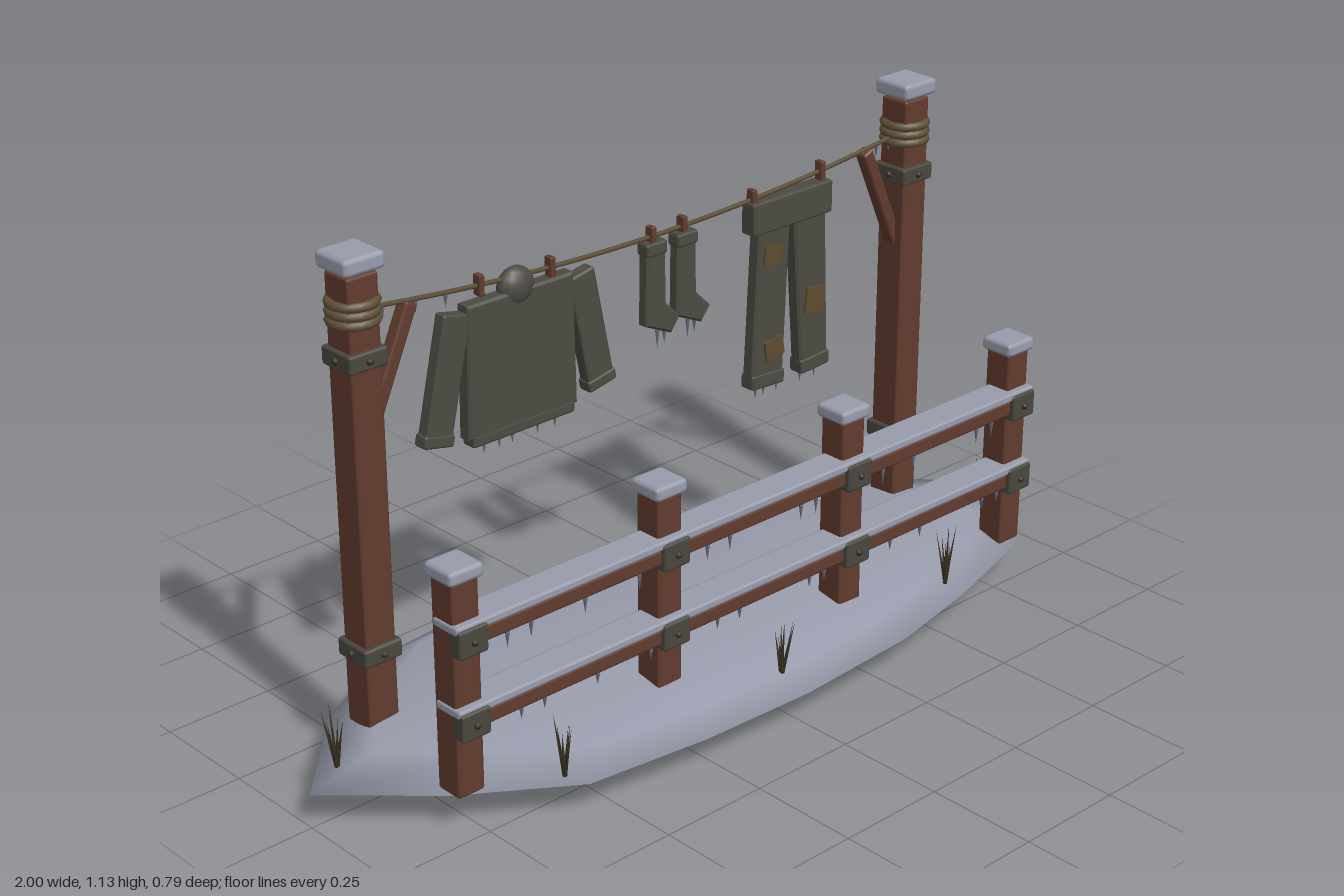
import * as THREE from 'three';
import { RoundedBoxGeometry } from 'three/addons/geometries/RoundedBoxGeometry.js';

const mat = (name, color) => {
  const m = new THREE.MeshStandardMaterial({ color });
  m.name = name;
  return m;
};
const M = {
  snow: mat('snow', 0x989cac), wood: mat('wood', 0x623c2f), iron: mat('iron', 0x48473f),
  cloth: mat('cloth', 0x4c4a42), rope: mat('rope', 0x5e5038), patch: mat('patch', 0x5e4c2e),
  grass: mat('dry grass', 0x37301f), ice: mat('ice', 0x686e7e), bolt: mat('bolt', 0x3c302a),
};
const LINE_Z = -0.118, FENCE_Z = 0.195;
const ropeY = x => 0.95 + 0.05 * ((x - 0.02) / 0.75) ** 2;

export function createModel() {
  const root = new THREE.Group();
  root.name = 'clotheslineAndFence';

  const add = (name, geo, material, x = 0, y = 0, z = 0, parent = root) => {
    const m = new THREE.Mesh(geo, material);
    m.name = name;
    m.position.set(x, y, z);
    parent.add(m);
    return m;
  };
  const box = (name, w, h, d, material, x, y, z, parent, r = 0.006) =>
    add(name, new RoundedBoxGeometry(w, h, d, 1, Math.min(r, w / 3, h / 3, d / 3)), material, x, y, z, parent);
  const group = name => {
    const g = new THREE.Group();
    g.name = name;
    root.add(g);
    return g;
  };
  // bar between two points in the plane of the washing line
  const bar = (name, a, b, w, d, material, z, parent) => {
    const dx = b[0] - a[0], dy = b[1] - a[1];
    const m = box(name, w, Math.hypot(dx, dy), d, material, (a[0] + b[0]) / 2, (a[1] + b[1]) / 2, z, parent);
    m.rotation.z = Math.atan2(-dx, dy);
    return m;
  };
  // flat bevelled panel cut from an outline
  const panel = (name, pts, depth, material, z, parent) => {
    const b = 0.005;
    const geo = new THREE.ExtrudeGeometry(new THREE.Shape(pts.map(p => new THREE.Vector2(...p))), {
      depth: depth - 2 * b, bevelEnabled: true, bevelThickness: b, bevelSize: b, bevelOffset: -b, bevelSegments: 1,
    });
    geo.translate(0, 0, -depth / 2 + b);
    return add(name, geo, material, 0, 0, z, parent);
  };
  const icicle = (x, y, z, len, parent) => {
    const geo = new THREE.ConeGeometry(0.005, len, 6);
    geo.rotateX(Math.PI);
    add('icicle', geo, M.ice, x, y - len / 2, z, parent);
  };
  const bolt = (x, y, z, parent) =>
    add('bolt', new THREE.SphereGeometry(0.008, 8, 6), M.bolt, x, y, z, parent);

  // snowy mound: one outline scaled through a lens profile
  const outline = [[-1, 0], [-0.8, -0.21], [-0.57, -0.345], [-0.25, -0.375], [0.05, -0.4], [0.33, -0.4],
    [0.6, -0.32], [0.83, -0.25], [0.96, -0.11], [1, 0], [0.99, 0.13], [0.83, 0.24], [0.56, 0.32],
    [0.32, 0.37], [0, 0.39], [-0.28, 0.38], [-0.57, 0.345], [-0.8, 0.19]];
  const rings = [[0, 0.145], [0.5, 0.138], [0.85, 0.11], [1, 0.076], [0.87, 0.038], [0.5, 0.008], [0, 0]];
  const pos = [], idx = [], n = outline.length;
  rings.forEach(([s, y], i) => outline.forEach(([x, z], j) => {
    pos.push(x * s, y, z * s);
    if (i + 1 === rings.length) return;
    const a = i * n + j, b = i * n + (j + 1) % n;
    if (i > 0) idx.push(a, b, b + n);
    if (i + 2 < rings.length) idx.push(a, b + n, a + n);
  }));
  const mound = new THREE.BufferGeometry();
  mound.setAttribute('position', new THREE.Float32BufferAttribute(pos, 3));
  mound.setIndex(idx);
  mound.computeVertexNormals();
  add('snowMound', mound, M.snow);

  // tall posts with straps, rope coils, caps and braces
  for (const [x, s] of [[-0.75, 1], [0.797, -1]]) {
    const g = group('tallPost');
    box('post', 0.075, 0.99, 0.075, M.wood, x, 0.59, LINE_Z, g);
    box('snowCap', 0.1, 0.038, 0.1, M.snow, x, 1.109, LINE_Z, g, 0.011);
    for (const y of [0.268, 0.91]) {
      box('strap', 0.094, 0.04, 0.094, M.iron, x, y, LINE_Z, g);
      for (const k of [-1, 1]) {
        bolt(x + k * 0.047, y, LINE_Z, g);
        bolt(x, y, LINE_Z + k * 0.047, g);
      }
    }
    for (const y of [0.987, 1.006, 1.025]) {
      const coil = add('ropeCoil', new THREE.TorusGeometry(0.047, 0.01, 8, 20), M.rope, x, y, LINE_Z, g);
      coil.rotation.x = Math.PI / 2;
    }
    bar('brace', [x + s * 0.025, 0.745], [x + s * 0.132, 0.985], 0.03, 0.032, M.wood, LINE_Z, g);
  }

  // washing line
  const linePts = [];
  for (let i = 0; i <= 12; i++) {
    const x = -0.73 + (1.5 * i) / 12;
    linePts.push(new THREE.Vector3(x, ropeY(x), LINE_Z));
  }
  add('washingLine', new THREE.TubeGeometry(new THREE.CatmullRomCurve3(linePts), 40, 0.005, 6), M.rope);
  for (const x of [-0.68, -0.6, -0.525, 0.66, 0.705, 0.745]) icicle(x, ropeY(x) - 0.003, LINE_Z, 0.028, root);
  for (const x of [-0.44, -0.254, 0.023, 0.112, 0.318, 0.527])
    box('peg', 0.014, 0.046, 0.022, M.wood, x, ropeY(x) + 0.001, LINE_Z, root, 0.003);

  // sweater
  const sweater = group('sweater');
  panel('sweaterBody', [[-0.49, 0.645], [-0.2, 0.645], [-0.205, 0.938], [-0.485, 0.938]], 0.036, M.cloth, LINE_Z, sweater);
  box('hem', 0.272, 0.028, 0.038, M.cloth, -0.345, 0.64, LINE_Z, sweater);
  const collar = add('collar', new THREE.SphereGeometry(0.045, 14, 10), M.cloth, -0.347, 0.942, LINE_Z, sweater);
  collar.scale.set(1, 0.95, 0.6);
  for (const [a, b] of [[[-0.507, 0.928], [-0.568, 0.655]], [[-0.182, 0.928], [-0.128, 0.66]]]) {
    bar('sleeve', a, b, 0.07, 0.032, M.cloth, LINE_Z, sweater);
    const t = 0.9;
    bar('cuff', [a[0] + (b[0] - a[0]) * t, a[1] + (b[1] - a[1]) * t], b, 0.077, 0.037, M.cloth, LINE_Z, sweater);
  }
  for (const x of [-0.44, -0.4, -0.365, -0.297, -0.25]) icicle(x, 0.628, LINE_Z, 0.03, sweater);

  // socks
  for (const x of [0, 0.088]) {
    const g = group('sock');
    panel('sockBody', [[0, 0.94], [-0.003, 0.755], [0.07, 0.722], [0.096, 0.755], [0.055, 0.795], [0.053, 0.94]]
      .map(([px, py]) => [px + x, py]), 0.03, M.cloth, LINE_Z, g);
    box('sockCuff', 0.058, 0.03, 0.036, M.cloth, x + 0.027, 0.925, LINE_Z, g);
    icicle(x + 0.04, 0.735, LINE_Z, 0.045, g);
    icicle(x + 0.06, 0.728, LINE_Z, 0.03, g);
  }

  // patched trousers
  const pants = group('trousers');
  box('waistband', 0.242, 0.076, 0.042, M.cloth, 0.427, 0.915, LINE_Z, pants);
  panel('leg', [[0.327, 0.89], [0.422, 0.89], [0.405, 0.515], [0.308, 0.525]], 0.034, M.cloth, LINE_Z, pants);
  panel('leg', [[0.433, 0.89], [0.532, 0.89], [0.548, 0.52], [0.462, 0.515]], 0.034, M.cloth, LINE_Z, pants);
  bar('legCuff', [0.359, 0.545], [0.357, 0.51], 0.1, 0.04, M.cloth, LINE_Z, pants);
  bar('legCuff', [0.504, 0.545], [0.506, 0.51], 0.09, 0.04, M.cloth, LINE_Z, pants);
  for (const [x, y, w, h, a] of [[0.364, 0.822, 0.05, 0.045, -0.1], [0.498, 0.682, 0.058, 0.06, -0.12], [0.373, 0.6, 0.055, 0.045, 0.15]])
    for (const k of [-1, 1]) {
      const p = add('patch', new THREE.BoxGeometry(w, h, 0.006), M.patch, x, y, LINE_Z + k * 0.019, pants);
      p.rotation.z = a;
    }
  for (const x of [0.335, 0.36, 0.4, 0.475, 0.52]) icicle(x, 0.512, LINE_Z, 0.03, pants);

  // fence posts
  const postX = [-0.773, -0.243, 0.291, 0.823];
  const railY = [0.436, 0.253];
  for (const x of postX) {
    const g = group('fencePost');
    box('post', 0.066, 0.475, 0.066, M.wood, x, 0.323, FENCE_Z, g);
    box('snowCap', 0.085, 0.032, 0.085, M.snow, x, 0.574, FENCE_Z, g, 0.01);
    for (const y of railY) {
      box('railClamp', 0.072, 0.062, 0.035, M.iron, x, y, 0.234, g);
      bolt(x, y, 0.252, g);
    }
  }

  // rails topped with snow
  for (const y of railY) {
    const g = group('fenceRail');
    box('rail', 1.66, 0.036, 0.066, M.wood, 0.025, y, 0.207, g);
    box('railSnow', 1.67, 0.02, 0.077, M.snow, 0.025, y + 0.028, 0.207, g);
    for (const x of [-0.68, -0.62, -0.48, -0.335, -0.147, -0.083, 0.125, 0.17, 0.377, 0.473, 0.68, 0.73])
      icicle(x + (y < 0.3 ? 0.03 : 0), y - 0.017, 0.236, y < 0.3 ? 0.025 : 0.036, g);
  }

  // tufts of dry grass
  for (const [x, y, z] of [[-0.91, 0.09, -0.03], [-0.6, 0.09, 0.305], [-0.02, 0.1, 0.33], [0.54, 0.1, 0.285], [0.9, 0.09, 0.08]]) {
    const g = group('grassTuft');
    g.position.set(x, y, z);
    for (let i = 0; i < 6; i++) {
      const h = 0.1 + 0.045 * ((i * 5) % 6) / 5;
      const geo = new THREE.ConeGeometry(0.005, h, 4);
      geo.translate(0, h / 2, 0);
      const blade = add('blade', geo, M.grass, 0, 0, 0, g);
      blade.rotation.set(0, i * 1.05 + x * 3, 0.1 + 0.05 * (i % 4));
    }
  }
  return root;
}
